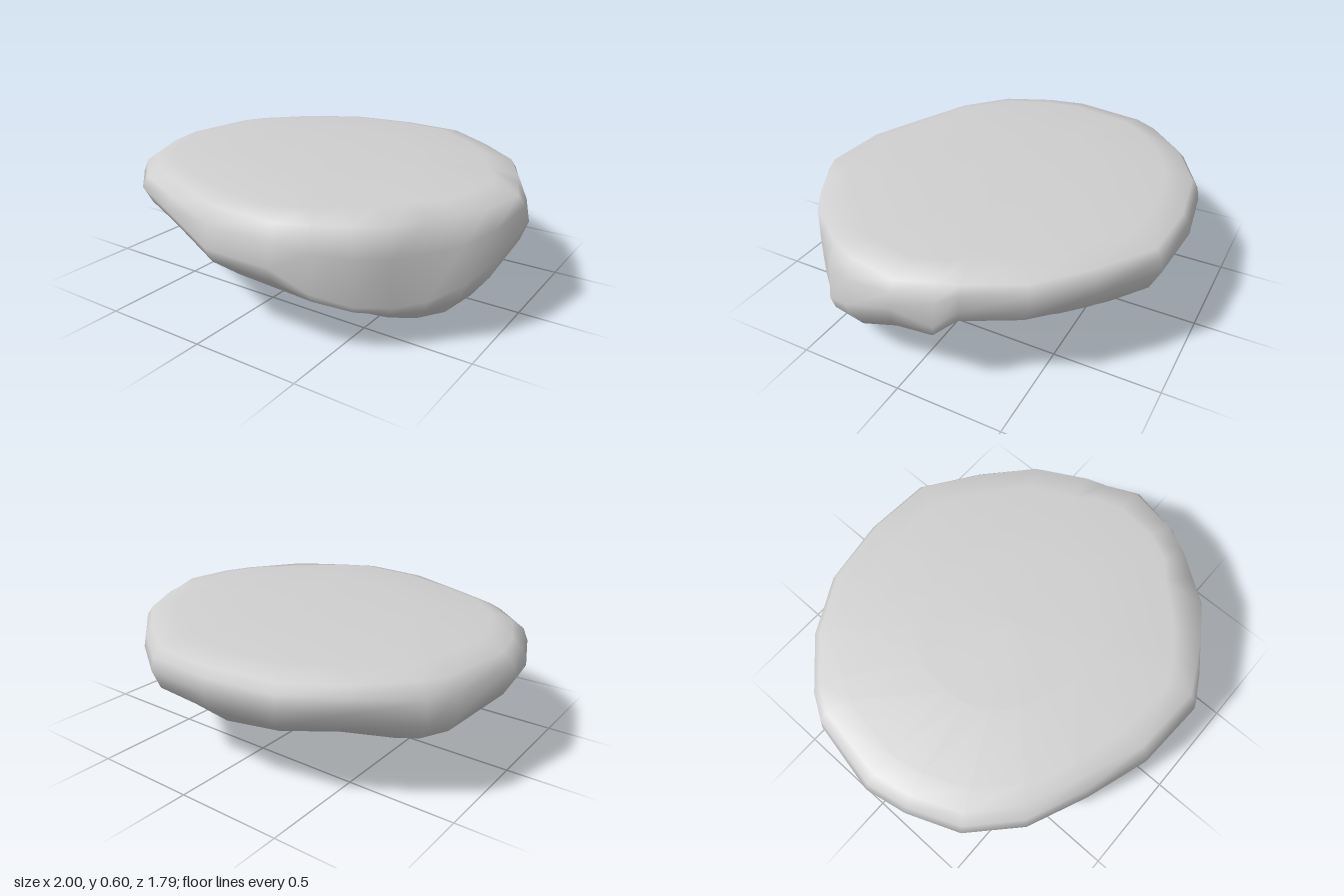
import * as THREE from 'three';

// Outline from the left side round by the front: [x, z, height of widest point, inset of top rim]
const OUTLINE = [
  [1, 0, 0.44, 0.95], [0.97, 0.25, 0.34, 0.94], [0.9, 0.4, 0.27, 0.94], [0.79, 0.5, 0.21, 0.97],
  [0.69, 0.61, 0.2, 0.99], [0.58, 0.72, 0.22, 0.96], [0.44, 0.82, 0.28, 0.94],
  [0.3, 0.89, 0.38, 0.94], [-0.05, 0.87, 0.37, 0.94], [-0.37, 0.77, 0.44, 0.91],
  [-0.65, 0.65, 0.46, 0.91], [-0.86, 0.45, 0.45, 0.92], [-0.96, 0.2, 0.43, 0.93],
  [-1, 0, 0.45, 0.93], [-0.93, -0.38, 0.39, 0.94], [-0.86, -0.5, 0.38, 0.94],
  [-0.65, -0.7, 0.45, 0.95], [-0.38, -0.85, 0.44, 0.955], [-0.05, -0.9, 0.45, 0.955],
  [0.28, -0.88, 0.45, 0.955], [0.54, -0.7, 0.45, 0.955], [0.76, -0.5, 0.45, 0.96],
  [0.88, -0.25, 0.43, 0.975], [0.95, -0.17, 0.37, 0.93],
];
// Flanks of the underside that slope straight to the keel: [angle in degrees, width, amount]
const FLANKS = [[150, 33, 1], [78, 33, 1], [-56, 40, 0.8], [-138, 25, 0.35]];
const KEEL = [0.43, 0.28]; // lowest point of the underside
const RIM = 0.548;         // height of the top rim
const { lerp, radToDeg } = THREE.MathUtils;

// Soft bump around an angle, both in degrees
function bump(angle, centre, width) {
  const d = ((angle - centre + 540) % 360) - 180;
  return Math.exp(-((d / width) ** 2));
}

// Ring inside the flat top
const topRing = (s, y) => OUTLINE.map(([x, z]) => [x * s, y, z * s]);

// Ring on the side wall, from the top rim (u = 0) to the widest outline (u = 1)
const wallRing = (u, bulge) => OUTLINE.map(([x, z, waist, rim]) => {
  const s = lerp(rim, 1, bulge);
  return [x * s, lerp(RIM, waist, u), z * s];
});

// Ring of the underside: share t of the way from keel to outline
const underRing = (t, f) => OUTLINE.map(([x, z, waist]) => {
  const dx = x - KEEL[0], dz = z - KEEL[1];
  const a = radToDeg(Math.atan2(dz, dx));
  const flank = Math.max(...FLANKS.map(([angle, width, amount]) => amount * bump(a, angle, width)));
  const h = lerp(f, Math.max(f, t * 0.9), flank);
  return [KEEL[0] + dx * t, waist * h, KEEL[1] + dz * t];
});

function buildStone() {
  const rings = [
    topRing(0.45, 0.59),
    topRing(0.82, 0.575),
    wallRing(0, 0),
    wallRing(0.4, 0.7),
    wallRing(1, 1),
    underRing(0.96, 0.76),
    underRing(0.82, 0.43),
    underRing(0.52, 0.27),
    underRing(0.25, 0.11),
  ];
  const n = OUTLINE.length;
  const points = [[0, 0.595, 0], ...rings.flat(), [KEEL[0], 0, KEEL[1]]];
  const last = points.length - 1;
  const at = (r, i) => 1 + r * n + (i % n);
  const index = [];
  for (let i = 0; i < n; i++) {
    index.push(0, at(0, i + 1), at(0, i));
    for (let r = 0; r < rings.length - 1; r++) {
      index.push(at(r, i), at(r + 1, i + 1), at(r + 1, i));
      index.push(at(r, i), at(r, i + 1), at(r + 1, i + 1));
    }
    index.push(at(rings.length - 1, i), at(rings.length - 1, i + 1), last);
  }
  const geometry = new THREE.BufferGeometry();
  geometry.setAttribute('position', new THREE.Float32BufferAttribute(points.flat(), 3));
  geometry.setIndex(index);
  geometry.computeVertexNormals();
  return geometry;
}

export function createModel() {
  const stoneGrey = new THREE.MeshStandardMaterial({ color: 0xcfcfcf });
  stoneGrey.name = 'stone grey';
  const stone = new THREE.Mesh(buildStone(), stoneGrey);
  stone.name = 'flatStone';
  const group = new THREE.Group();
  group.name = 'flatToppedRock';
  group.add(stone);
  return group;
}
